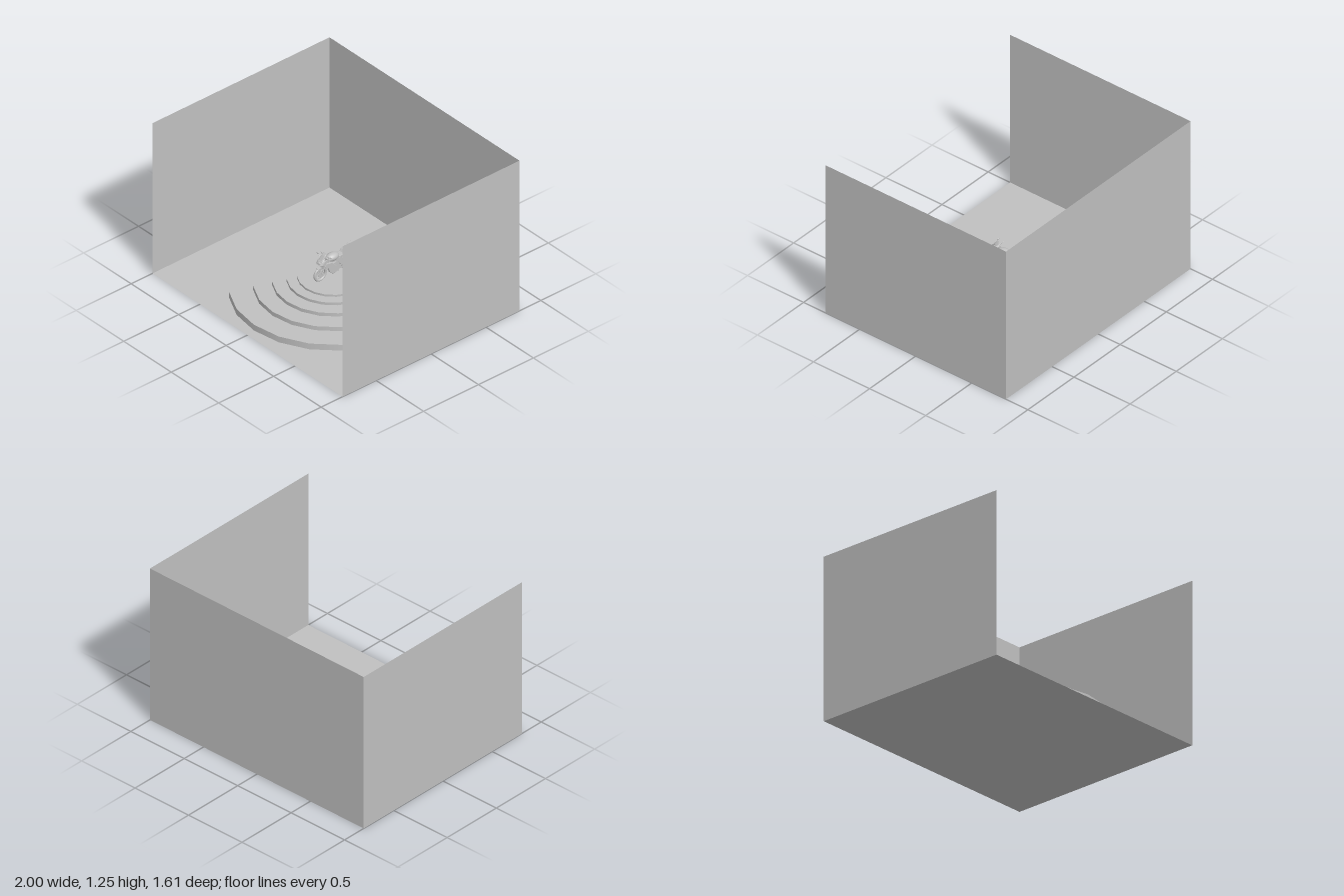
import * as THREE from 'three';

const grey = new THREE.MeshStandardMaterial({ color: 0xc0c0c0 });
grey.name = 'plain grey';
const greySheet = new THREE.MeshStandardMaterial({ color: 0xc0c0c0, side: THREE.DoubleSide });
greySheet.name = 'plain grey sheet';

function add(parent, name, geometry, x = 0, y = 0, z = 0, material = grey) {
  const mesh = new THREE.Mesh(geometry, material);
  mesh.name = name;
  mesh.position.set(x, y, z);
  parent.add(mesh);
  return mesh;
}

// Side outline given as [z, y] points, extruded across x with soft edges
function sidePanel(parent, name, points, width, x = 0, bevel = 0.003) {
  const shape = new THREE.Shape(points.map(([z, y]) => new THREE.Vector2(z, y)));
  const depth = width - bevel * 2;
  const geo = new THREE.ExtrudeGeometry(shape, {
    depth, bevelEnabled: true, bevelSize: bevel, bevelThickness: bevel, bevelOffset: -bevel, bevelSegments: 2,
  });
  geo.translate(0, 0, -depth / 2);
  geo.rotateY(-Math.PI / 2);
  return add(parent, name, geo, x);
}

// Straight round bar between two points
function bar(parent, name, a, b, radius) {
  const from = new THREE.Vector3(...a), to = new THREE.Vector3(...b);
  const dir = to.clone().sub(from);
  const mesh = add(parent, name, new THREE.CylinderGeometry(radius, radius, dir.length(), 10));
  mesh.position.copy(from).add(to).multiplyScalar(0.5);
  mesh.quaternion.setFromUnitVectors(new THREE.Vector3(0, 1, 0), dir.normalize());
  return mesh;
}

function ball(parent, name, pos, scale) {
  const mesh = add(parent, name, new THREE.SphereGeometry(1, 20, 14), ...pos);
  mesh.scale.set(...scale);
  return mesh;
}

function buildRoom(parent) {
  const w = 2, d = 1.61, h = 1.25;
  const floor = add(parent, 'floor', new THREE.PlaneGeometry(w, d), 0, 0, 0, greySheet);
  floor.rotation.x = -Math.PI / 2;
  add(parent, 'backWall', new THREE.PlaneGeometry(w, h), 0, h / 2, -d / 2, greySheet);
  for (const s of [-1, 1]) {
    const wall = add(parent, s > 0 ? 'leftWall' : 'rightWall', new THREE.PlaneGeometry(d, h), s * w / 2, h / 2, 0, greySheet);
    wall.rotation.y = -s * Math.PI / 2;
  }
}

function buildPodium(parent) {
  // radius, bottom, top of each step
  const steps = [
    [0.722, 0.012, 0.06], [0.553, 0.06, 0.093], [0.422, 0.093, 0.12],
    [0.323, 0.12, 0.141], [0.25, 0.141, 0.157],
  ];
  steps.forEach(([r, y0, y1], i) => {
    add(parent, 'podiumStep' + (i + 1), new THREE.CylinderGeometry(r, r, y1 - y0, 20), 0, (y0 + y1) / 2, 0.025);
  });
}

function buildWheel(parent, name, z, width) {
  const wheel = new THREE.Group();
  wheel.name = name;
  wheel.position.set(0, 0.058, z);
  parent.add(wheel);
  const tyre = new THREE.TorusGeometry(0.048, 0.01, 12, 36);
  tyre.rotateY(Math.PI / 2);
  add(wheel, 'tyre', tyre).scale.x = width / 0.02;
  const hub = new THREE.CylinderGeometry(0.009, 0.009, width + 0.006, 16);
  hub.rotateZ(Math.PI / 2);
  add(wheel, 'hub', hub);
  for (let i = 0; i < 5; i++) {
    const a = i / 5 * Math.PI * 2;
    bar(wheel, 'spoke', [0, 0, 0], [0, Math.sin(a) * 0.041, Math.cos(a) * 0.041], 0.003);
  }
  for (const s of [-1, 1]) {
    const disc = new THREE.CylinderGeometry(0.024, 0.024, 0.002, 24);
    disc.rotateZ(Math.PI / 2);
    add(wheel, 'brakeDisc', disc, s * (width / 2 + 0.001));
  }
}

function buildMotorcycle(parent) {
  const bike = new THREE.Group();
  bike.name = 'motorcycle';
  bike.position.y = 0.157;
  parent.add(bike);

  buildWheel(bike, 'frontWheel', 0.144, 0.019);
  buildWheel(bike, 'rearWheel', -0.102, 0.026);

  // Engine and frame
  sidePanel(bike, 'engine', [[-0.04, 0.045], [0.05, 0.04], [0.068, 0.07], [0.06, 0.115], [-0.03, 0.12]], 0.046);
  sidePanel(bike, 'frame', [[-0.05, 0.07], [-0.03, 0.065], [0, 0.11], [0.09, 0.145], [0.085, 0.165], [-0.03, 0.14]], 0.052);

  // Tank, seat and raised tail
  ball(bike, 'fuelTank', [0, 0.155, 0.035], [0.036, 0.03, 0.056]);
  sidePanel(bike, 'seat', [[0, 0.135], [0, 0.152], [-0.05, 0.154], [-0.065, 0.17], [-0.12, 0.182], [-0.12, 0.165], [-0.06, 0.142]], 0.05);
  sidePanel(bike, 'tail', [[-0.03, 0.125], [-0.05, 0.15], [-0.12, 0.178], [-0.16, 0.19], [-0.155, 0.172], [-0.1, 0.15]], 0.06);
  sidePanel(bike, 'rearMudguard', [[-0.13, 0.16], [-0.148, 0.165], [-0.162, 0.115], [-0.156, 0.112]], 0.026, 0, 0.002);

  // Fairing with nose, windscreen and headlamp
  sidePanel(bike, 'noseFairing', [[0.085, 0.125], [0.085, 0.175], [0.105, 0.19], [0.145, 0.165], [0.165, 0.14], [0.14, 0.12]], 0.062, 0, 0.012);
  const screen = sidePanel(bike, 'windscreen', [[0.095, 0.18], [0.098, 0.213], [0.115, 0.2], [0.142, 0.168]], 0.036, 0, 0.006);
  screen.material = grey;
  ball(bike, 'headlamp', [0, 0.148, 0.15], [0.02, 0.013, 0.012]);

  for (const s of [-1, 1]) {
    sidePanel(bike, 'sideFairing', [[0.01, 0.05], [0.06, 0.04], [0.09, 0.07], [0.1, 0.1], [0.135, 0.125],
      [0.12, 0.15], [0.07, 0.14], [0.03, 0.1]], 0.012, s * 0.034);
    // Fork, swing arm and bars
    bar(bike, 'frontFork', [s * 0.017, 0.058, 0.144], [s * 0.017, 0.185, 0.092], 0.005);
    bar(bike, 'swingArm', [s * 0.02, 0.058, -0.102], [s * 0.02, 0.075, -0.02], 0.006);
    bar(bike, 'handlebar', [s * 0.012, 0.182, 0.095], [s * 0.055, 0.19, 0.088], 0.004);
    bar(bike, 'mirrorStalk', [s * 0.025, 0.175, 0.125], [s * 0.045, 0.198, 0.125], 0.002);
    ball(bike, 'mirror', [s * 0.047, 0.2, 0.125], [0.01, 0.007, 0.005]);
    bar(bike, 'indicator', [s * 0.03, 0.116, 0.122], [s * 0.054, 0.116, 0.122], 0.003);
    bar(bike, 'footPeg', [s * 0.022, 0.068, -0.03], [s * 0.046, 0.068, -0.03], 0.003);
  }
  sidePanel(bike, 'frontMudguard', [[0.09, 0.09], [0.112, 0.118], [0.144, 0.124], [0.175, 0.113], [0.172, 0.108],
    [0.144, 0.118], [0.115, 0.111], [0.096, 0.088]], 0.028, 0, 0.001);

  // Exhaust on the right side
  const pipe = new THREE.CatmullRomCurve3([
    new THREE.Vector3(0, 0.05, 0.07), new THREE.Vector3(-0.012, 0.032, 0.045),
    new THREE.Vector3(-0.025, 0.035, -0.02), new THREE.Vector3(-0.04, 0.075, -0.055),
  ]);
  add(bike, 'exhaustPipe', new THREE.TubeGeometry(pipe, 24, 0.006, 10));
  bar(bike, 'silencer', [-0.04, 0.073, -0.05], [-0.042, 0.115, -0.118], 0.01);
}

export function createModel() {
  const model = new THREE.Group();
  model.name = 'motorcycleShowroom';
  buildRoom(model);
  buildPodium(model);
  buildMotorcycle(model);
  return model;
}
